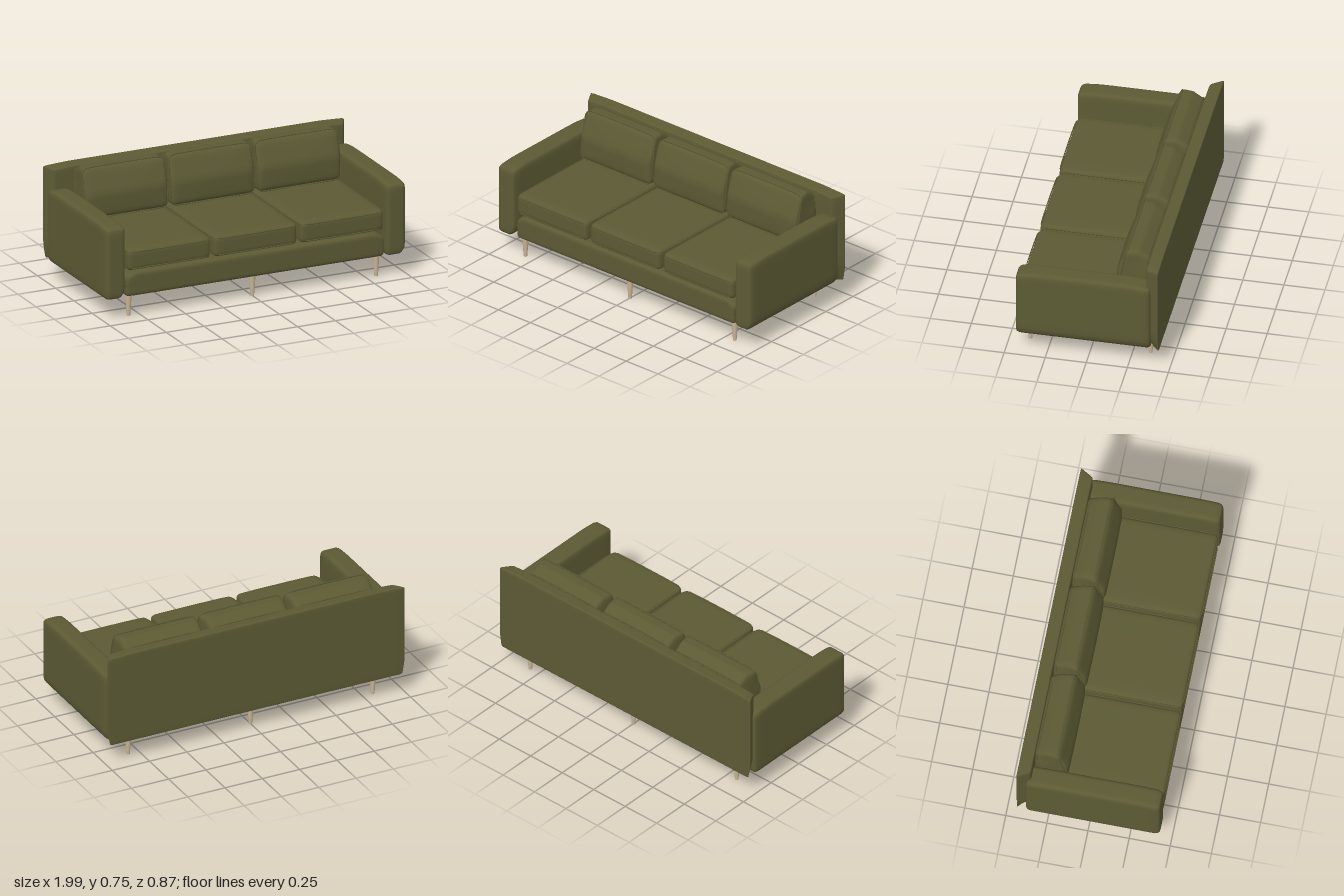
import * as THREE from 'three';
import { mergeVertices } from 'three/addons/utils/BufferGeometryUtils.js';

const fabric = new THREE.MeshStandardMaterial({ color: 0x5c5a34 });
fabric.name = 'olive fabric';
const wood = new THREE.MeshStandardMaterial({ color: 0xc8b596 });
wood.name = 'pale wood';

const clamp = THREE.MathUtils.clamp;

// Rounded box whose vertices crowd towards the edges; deform(p, t) then
// reshapes each point, t being its place in the box from -1 to 1.
function softBox(w, h, d, r, deform, n = 16) {
  const g = new THREE.BoxGeometry(2, 2, 2, n, n, n);
  g.deleteAttribute('uv');
  g.deleteAttribute('normal');
  const merged = mergeVertices(g, 1e-4);
  const pos = merged.attributes.position;
  const half = new THREE.Vector3(w / 2, h / 2, d / 2);
  const p = new THREE.Vector3();
  const inner = new THREE.Vector3();
  for (let i = 0; i < pos.count; i++) {
    p.fromBufferAttribute(pos, i);
    for (const a of ['x', 'y', 'z']) {
      p[a] = Math.sin(p[a] * Math.PI / 2) * half[a];
      inner[a] = clamp(p[a], r - half[a], half[a] - r);
    }
    p.sub(inner).setLength(r).add(inner);
    if (deform) deform(p, p.clone().divide(half));
    pos.setXYZ(i, p.x, p.y, p.z);
  }
  merged.computeVertexNormals();
  return merged;
}

// Thin cord around a rounded rectangle; place(u, v) returns the 3D point
function pipingGeometry(w, h, r, place) {
  const points = [];
  const corners = [[1, 1], [-1, 1], [-1, -1], [1, -1]];
  corners.forEach(([sx, sy], c) => {
    for (let k = 0; k <= 4; k++) {
      const a = (c + k / 4) * Math.PI / 2;
      points.push(place(sx * (w / 2 - r) + Math.cos(a) * r, sy * (h / 2 - r) + Math.sin(a) * r));
    }
  });
  const curve = new THREE.CatmullRomCurve3(points, true, 'centripetal');
  return new THREE.TubeGeometry(curve, 96, 0.004, 5, true);
}

function add(parent, name, geometry, material, x = 0, y = 0, z = 0) {
  const mesh = new THREE.Mesh(geometry, material);
  mesh.name = name;
  mesh.position.set(x, y, z);
  parent.add(mesh);
  return mesh;
}

export function createModel() {
  const sofa = new THREE.Group();
  sofa.name = 'sofa';

  // Base under the seat, with softened upper front corners
  add(sofa, 'base', softBox(1.71, 0.155, 0.79, 0.025, (p, t) => {
    if (t.y > 0) p.y -= 0.03 * Math.max(0, (Math.abs(t.x) - 0.93) / 0.07);
  }), fabric, 0, 0.208, 0.03);

  // Arms: low crown along the top, bevel along the lower +x edge
  const armGeometry = softBox(0.132, 0.462, 0.82, 0.03, (p, t) => {
    const end = Math.max(0, (Math.abs(t.z) - 0.6) / 0.4);
    if (t.y > 0) p.y -= 0.014 * end * end * t.y;
    const low = clamp((-0.185 - p.y) / 0.045, 0, 1);
    if (t.x > 0) p.x -= 0.03 * low * t.x;
  });
  for (const [name, x] of [['rightArm', -0.928], ['leftArm', 0.928]]) {
    add(sofa, name, armGeometry, fabric, x, 0.361, 0.025);
  }

  // Back panel: wider behind than in front, lower front edge tucked in
  add(sofa, 'backPanel', softBox(2, 0.595, 0.082, 0.012, (p, t) => {
    const front = (t.z + 1) / 2;
    p.x -= 0.045 * front * t.x * Math.max(0, (Math.abs(t.x) - 0.8) / 0.2);
    if (t.y > 0) p.y -= 0.008 * Math.max(0, (Math.abs(t.x) - 0.85) / 0.15) + 0.01 * front * t.y;
    const low = clamp((-0.2 - p.y) / 0.09, 0, 1);
    p.z -= 0.04 * low * front;
    p.x -= 0.015 * low * t.x;
  }), fabric, 0, 0.428, -0.396);

  // Seat cushion with a slight crown and two cords
  const seatGeometry = softBox(0.55, 0.135, 0.775, 0.03, (p, t) => {
    p.y += 0.006 * t.y * (1 - t.x * t.x) * (1 - t.z * t.z);
  });
  const seatCords = [-0.052, 0.052].map((y) =>
    pipingGeometry(0.546, 0.772, 0.04, (u, v) => new THREE.Vector3(u, y, v)));

  // Back cushion: upper front leans back and the top slopes down behind
  const lean = (p, t) => {
    const front = (t.z + 1) / 2;
    const up = Math.max(0, t.y);
    p.z -= 0.055 * front * up;
    p.y -= 0.045 * up * Math.max(0, 1 - 2 * front);
    p.x -= 0.022 * t.x * up * (1 - front);
    p.z += 0.008 * t.z * (1 - t.x * t.x) * (1 - t.y * t.y);
  };
  const pillowGeometry = softBox(0.55, 0.305, 0.205, 0.03, lean);
  const pillowCords = [-0.082, 0.09].map((z) =>
    pipingGeometry(0.548, 0.303, 0.035, (u, v) => {
      const p = new THREE.Vector3(u, v, z);
      lean(p, new THREE.Vector3(u / 0.275, v / 0.1525, z / 0.1025));
      return p;
    }));

  // Three seats, each with its back cushion
  for (const x of [-0.572, 0, 0.572]) {
    const seat = add(sofa, 'seatCushion', seatGeometry, fabric, x, 0.362, 0.043);
    seatCords.forEach((g) => add(seat, 'seatPiping', g, fabric));
    const pillow = add(sofa, 'backCushion', pillowGeometry, fabric, x, 0.589, -0.255);
    pillowCords.forEach((g) => add(pillow, 'backPiping', g, fabric));
  }

  // Six tapered legs
  const legGeometry = new THREE.CylinderGeometry(0.02, 0.011, 0.135, 16);
  for (const x of [-0.82, 0, 0.82]) {
    for (const z of [0.376, -0.356]) {
      add(sofa, z > 0 ? 'frontLeg' : 'backLeg', legGeometry, wood, x, 0.0675, z);
    }
  }
  return sofa;
}
